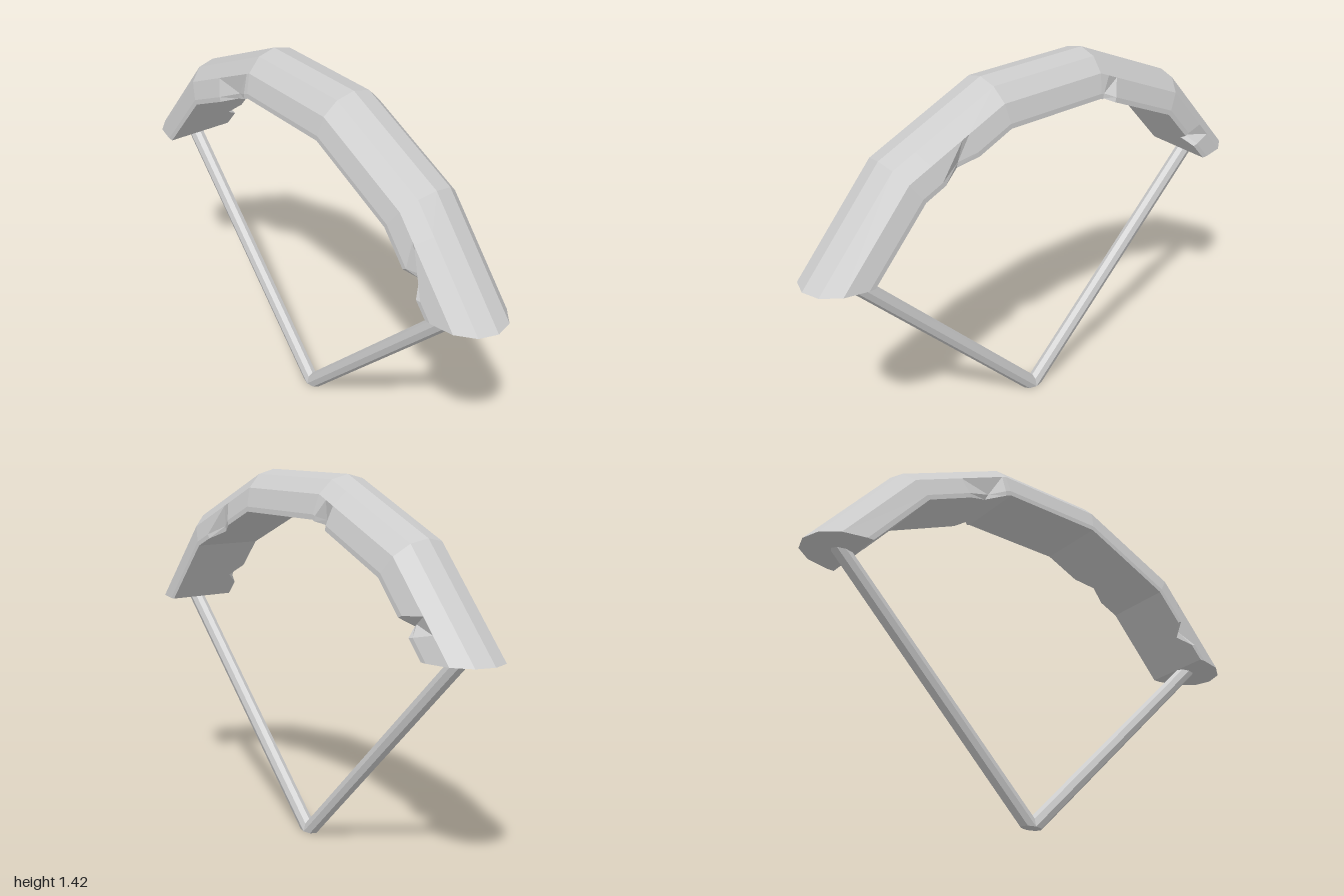
import * as THREE from 'three';

const material = new THREE.MeshStandardMaterial({ color: 0xcccccc, flatShading: true });

// Bends of the arch: outer crest and inner underside
const OUTER = [[-1, 0.845], [-0.67, 1.225], [-0.235, 1.418], [0.235, 1.418], [0.67, 1.225], [1, 0.845]];
const INNER = [[-0.8, 0.845], [-0.58, 1.095], [-0.21, 1.26], [0.21, 1.26], [0.58, 1.095], [0.8, 0.845]];

// Half cross-section as [z, depth]: crest, rounded shoulder, corner, middle of the underside
const SECTION = [[0, 0], [0.07, 0.11], [0.121, 0.43], [0.14, 0.88], [0.14, 1], [0, 1]];

// Chips in the lower corners: opening a..b along the edge, tip position, remaining half width z
const FRONT_CHIPS = [
  { a: 1.49, b: 1.94, tip: 1.96, z: 0.112 },
  { a: 4.45, b: 4.78, tip: 4.27, z: 0.09 },
];
const BACK_CHIPS = [
  { a: 0.28, b: 0.52, tip: 0.45, z: 0.09 },
  { a: 1.8, b: 1.97, tip: 1.9, z: 0.105 },
  { a: 3.38, b: 3.78, tip: 3.45, z: 0.105 },
];

// Point on the arch at t (bend index plus fraction) and depth d
function archPoint(t, d, z) {
  const i = Math.min(Math.floor(t), 4), f = t - i;
  const mix = (list, k) => THREE.MathUtils.lerp(list[i][k], list[i + 1][k], f);
  return [0, 1].map((k) => THREE.MathUtils.lerp(mix(OUTER, k), mix(INNER, k), d)).concat(z);
}

// One ring of points; the two corner points may sit at their own t
function ring(t, side, cornerT = t) {
  return SECTION.map(([z, d], j) => archPoint(j === 3 || j === 4 ? cornerT : t, d, z * side));
}

// Deepest ring of a chip: the corner is drawn onto a line from tip to underside
function chipRing({ a, b, tip, z }, side) {
  return SECTION.map(([z0, d], j) => {
    if (j !== 3 && j !== 4) return archPoint(tip, d, z0 * side);
    const f = j === 3 ? 0.79 : 1;
    return archPoint(
      THREE.MathUtils.lerp(tip, (a + b) / 2, f), d,
      THREE.MathUtils.lerp(SECTION[2][0], z, f) * side);
  });
}

// Front (side = 1) or back (side = -1) half of the arch
function halfArch(side, chips) {
  const stations = OUTER.map((_, t) => ({ t, points: ring(t, side) }));
  for (const chip of chips) {
    const first = Math.min(chip.a, chip.tip - 0.03), last = Math.max(chip.b, chip.tip + 0.03);
    stations.push(
      { t: first, points: ring(first, side, chip.a) },
      { t: chip.tip, points: chipRing(chip, side) },
      { t: last, points: ring(last, side, chip.b) });
  }
  stations.sort((p, q) => p.t - q.t);
  const rings = stations.map((s) => s.points);

  const positions = [];
  const tri = (p, q, r) => positions.push(...p, ...(side > 0 ? q : r), ...(side > 0 ? r : q));
  for (let i = 0; i < rings.length - 1; i++) {
    const m = rings[i], n = rings[i + 1];
    for (let j = 0; j < SECTION.length - 1; j++) {
      tri(m[j], m[j + 1], n[j + 1]);
      tri(m[j], n[j + 1], n[j]);
    }
  }
  // Flat ends
  const start = rings[0], end = rings[rings.length - 1];
  for (let j = 1; j < SECTION.length - 1; j++) {
    tri(start[0], start[j + 1], start[j]);
    tri(end[0], end[j], end[j + 1]);
  }
  const geometry = new THREE.BufferGeometry();
  geometry.setAttribute('position', new THREE.Float32BufferAttribute(positions, 3));
  geometry.computeVertexNormals();
  return new THREE.Mesh(geometry, material);
}

// Slanted rod with level ends, leaning towards side
function rod(side) {
  const height = 0.85;
  const geometry = new THREE.CylinderGeometry(0.028, 0.028, height, 8);
  geometry.translate(0, height / 2, 0);
  const p = geometry.attributes.position;
  for (let i = 0; i < p.count; i++) p.setX(i, p.getX(i) * 1.6 + side * p.getY(i));
  geometry.computeVertexNormals();
  return new THREE.Mesh(geometry, material);
}

export function createModel() {
  const model = new THREE.Group();
  model.name = 'archOnRods';

  const arch = new THREE.Group();
  arch.name = 'arch';
  const front = halfArch(1, FRONT_CHIPS);
  front.name = 'archFront';
  const back = halfArch(-1, BACK_CHIPS);
  back.name = 'archBack';
  arch.add(front, back);
  model.add(arch);

  for (const side of [1, -1]) {
    const mesh = rod(side);
    mesh.name = side > 0 ? 'leftRod' : 'rightRod';
    model.add(mesh);
  }
  return model;
}
